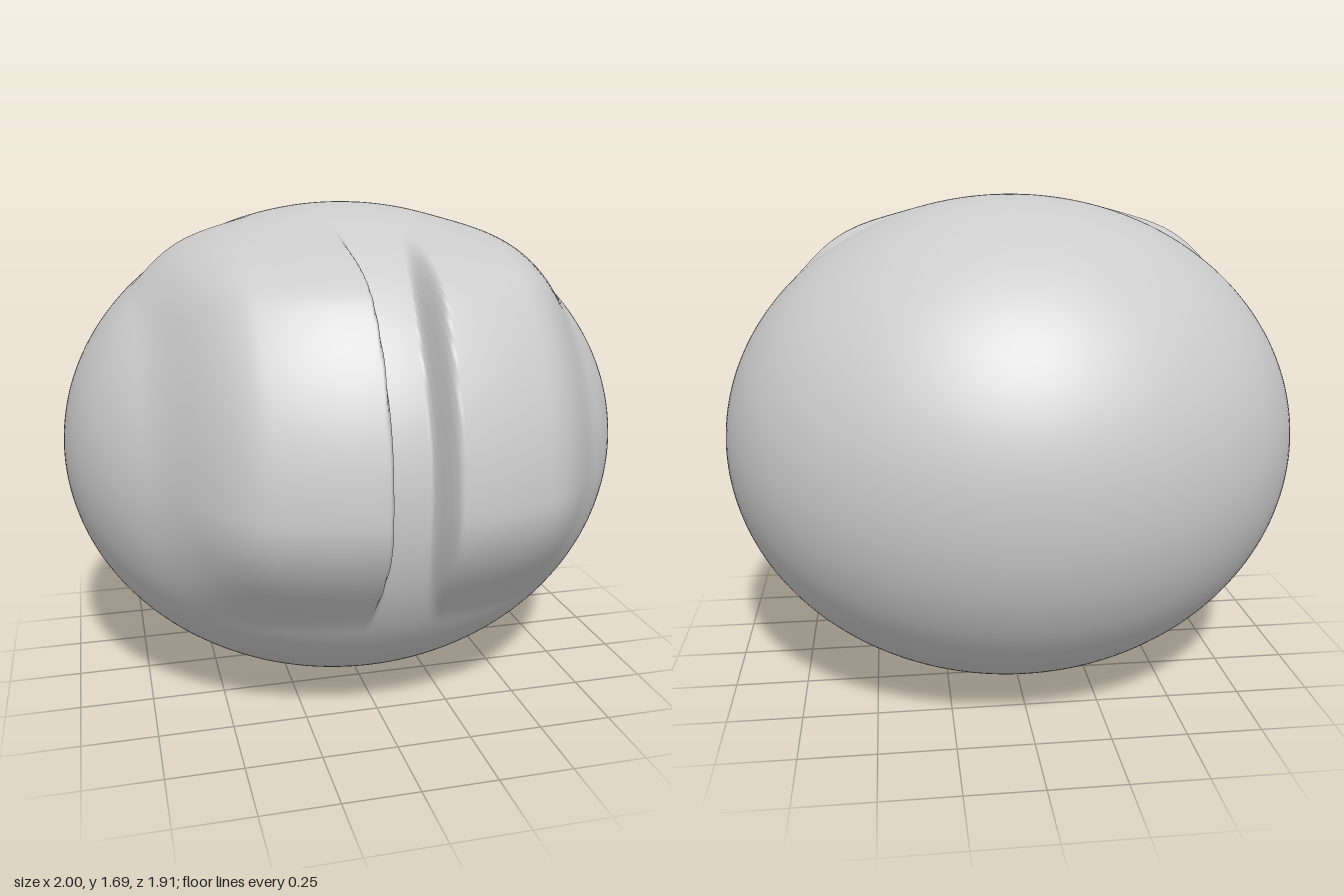
import * as THREE from 'three';
import { mergeVertices } from 'three/addons/utils/BufferGeometryUtils.js';

const RADIUS = new THREE.Vector3(1, 0.847, 0.895);
const CENTRE = new THREE.Vector3(0, 0.85, -0.05);
const step = THREE.MathUtils.smoothstep;

// Height of the two front lobes above the ellipsoid at (x, y)
function lobeHeight(x, y) {
  const vertical = step(y, 0.4, 0.85) * (1 - step(y, 1.36, 1.66));
  const across = 1 - step(Math.abs(x), 0.38, 0.75);
  // The groove between the lobes flares at its ends; its +x wall is softer
  const flare = Math.pow((y - 1.02) / 0.55, 4);
  const wall = x < 0
    ? step(-x, 0.064 + 0.015 * flare, 0.08 + 0.025 * flare)
    : step(x, 0.066 + 0.025 * flare, 0.105 + 0.04 * flare);
  return 0.126 * vertical * across * wall;
}

function bodyGeometry() {
  let geo = new THREE.SphereGeometry(1, 240, 160);
  geo.deleteAttribute('uv');
  geo.deleteAttribute('normal');
  geo = mergeVertices(geo, 1e-5);
  const pos = geo.attributes.position;
  const p = new THREE.Vector3();
  const n = new THREE.Vector3();
  for (let i = 0; i < pos.count; i++) {
    p.fromBufferAttribute(pos, i);
    // Crowd the columns towards the front, where the groove is
    const ring = Math.hypot(p.x, p.z);
    const a = Math.atan2(p.x, p.z);
    const warped = a - 0.7 * Math.sin(a);
    p.x = ring * Math.sin(warped);
    p.z = ring * Math.cos(warped);
    // Ellipsoid, raised along its normal at the lobes
    n.copy(p).divide(RADIUS).normalize();
    const front = p.z > 0;
    p.multiply(RADIUS).add(CENTRE);
    if (front) p.addScaledVector(n, lobeHeight(p.x, p.y));
    pos.setXYZ(i, p.x, p.y, p.z);
  }
  geo.computeVertexNormals();
  return geo;
}

export function createModel() {
  const group = new THREE.Group();
  group.name = 'groovedBall';
  const grey = new THREE.MeshStandardMaterial({ color: 0xcccccc });
  grey.name = 'light grey';
  const body = new THREE.Mesh(bodyGeometry(), grey);
  body.name = 'body';
  group.add(body);
  return group;
}
